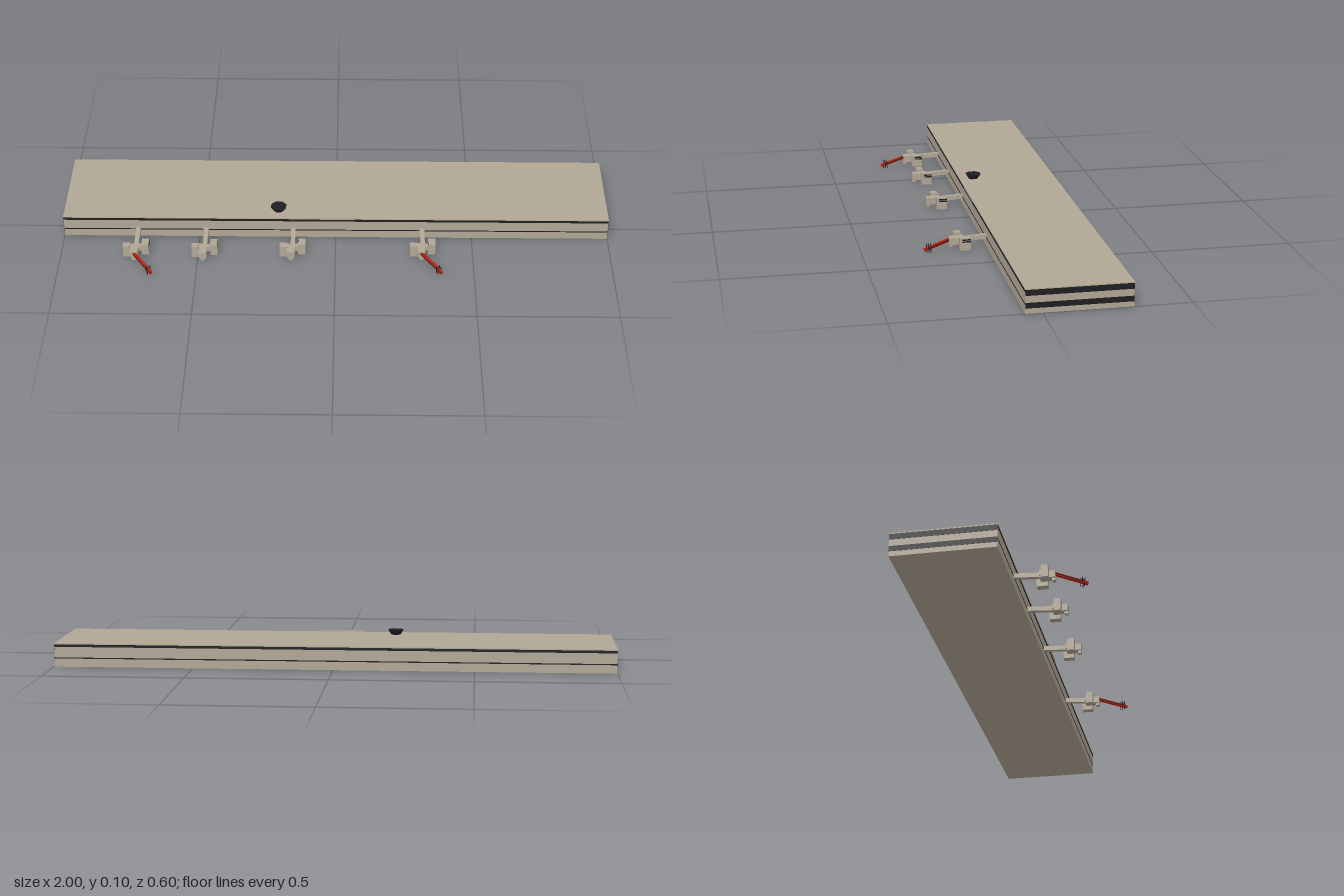
import * as THREE from 'three';

const mat = (name, color) => Object.assign(new THREE.MeshStandardMaterial({ color }), { name });

export function createModel() {
  const root = new THREE.Group();
  root.name = 'terminal';
  const stone = mat('warm concrete', 0xb1a796);
  const glass = mat('dark glass', 0x1f1f22);
  const red = mat('red paint', 0xb5200e);

  // Box given by its min and max on each axis
  function box(parent, name, m, x0, x1, y0, y1, z0, z1) {
    const mesh = new THREE.Mesh(new THREE.BoxGeometry(x1 - x0, y1 - y0, z1 - z0), m);
    mesh.position.set((x0 + x1) / 2, (y0 + y1) / 2, (z0 + z1) / 2);
    mesh.name = name;
    parent.add(mesh);
    return mesh;
  }

  // Group whose local z runs from a to b, centred between them
  function span(parent, name, a, b) {
    const g = new THREE.Group();
    g.name = name;
    g.position.copy(a).add(b).multiplyScalar(0.5);
    g.lookAt(b);
    parent.add(g);
    return g;
  }

  // Main hall and roof
  box(root, 'hall', stone, -0.999, 0.999, 0, 0.082, -0.302, 0.057);
  box(root, 'roof', stone, -1, 1, 0.082, 0.085, -0.303, 0.058);

  // Window bands: full height on the ends, slim on the long sides
  for (const s of [-1, 1]) {
    for (const [y0, y1] of [[0.018, 0.037], [0.061, 0.081]]) {
      box(root, 'endWindows', glass, s * 0.9993 - 0.0005, s * 0.9993 + 0.0005, y0, y1, -0.302, 0.057);
    }
  }
  for (const [name, z] of [['frontWindows', 0.057], ['backWindows', -0.302]]) {
    box(root, name, glass, -0.999, 0.999, 0.072, 0.081, z - 0.0006, z + 0.0006);
    box(root, name, glass, -0.999, 0.999, 0.03, 0.034, z - 0.0006, z + 0.0006);
  }

  // Plain panel on the front edge of the roof
  box(root, 'roofPanel', stone, -0.1, 0.07, 0.082, 0.09, 0.058, 0.06);

  // Flared eight-sided control room
  const tower = new THREE.Mesh(new THREE.CylinderGeometry(0.03, 0.018, 0.018, 8), glass);
  tower.geometry.rotateY(Math.PI / 8);
  tower.position.set(-0.21, 0.094, 0.006);
  tower.name = 'controlRoom';
  root.add(tower);

  // Boarding bridges: sloping corridor, cross passage and three cabins
  function bridge(x, shift, hasBelt) {
    const g = new THREE.Group();
    g.name = 'boardingBridge';
    g.position.x = x;
    root.add(g);
    const corridor = span(g, 'corridor',
      new THREE.Vector3(0, 0.034, 0.05), new THREE.Vector3(0, 0.027, 0.16 + shift));
    box(corridor, 'corridorShell', stone, -0.008, 0.008, -0.008, 0.008, -0.055 - shift / 2, 0.055 + shift / 2);

    const head = new THREE.Group();
    head.name = 'bridgeHead';
    head.position.z = shift;
    g.add(head);
    box(head, 'crossPassage', stone, -0.03, 0.03, 0.015, 0.035, 0.147, 0.165);
    box(head, 'middleCabin', stone, -0.02, 0.008, 0.01, 0.035, 0.147, 0.2);
    box(head, 'leftCabin', stone, -0.047, -0.021, 0, 0.045, 0.155, 0.18);
    box(head, 'rightCabin', stone, 0.02, 0.046, 0, 0.045, 0.13, 0.168);
    box(head, 'frontSupport', stone, -0.014, 0.002, 0, 0.035, 0.188, 0.2);
    for (const y of [0.029, 0.036]) {
      box(head, 'cabinWindow', glass, 0.0195, 0.0465, y, y + 0.005, 0.1295, 0.16);
    }

    if (!hasBelt) return;
    // Red loading belt reaching out at an angle
    const belt = span(head, 'loadingBelt',
      new THREE.Vector3(-0.008, 0.028, 0.192), new THREE.Vector3(0.066, 0.019, 0.297));
    box(belt, 'beltFrame', red, -0.005, 0.005, -0.005, 0.005, -0.064, 0.064);
    for (const s of [-1, 1]) {
      box(belt, 'beltSide', glass, s * 0.005 - 0.0005, s * 0.005 + 0.0005, -0.001, 0.002, -0.06, 0.045);
      for (const z of [0.039, 0.048]) {
        box(belt, 'beltPost', glass, s * 0.006 - 0.001, s * 0.006 + 0.001, -0.016, 0.016, z, z + 0.002);
      }
    }
  }
  bridge(-0.725, 0, true);
  bridge(-0.475, 0, false);
  bridge(-0.155, -0.006, false);
  bridge(0.318, -0.012, true);

  return root;
}
